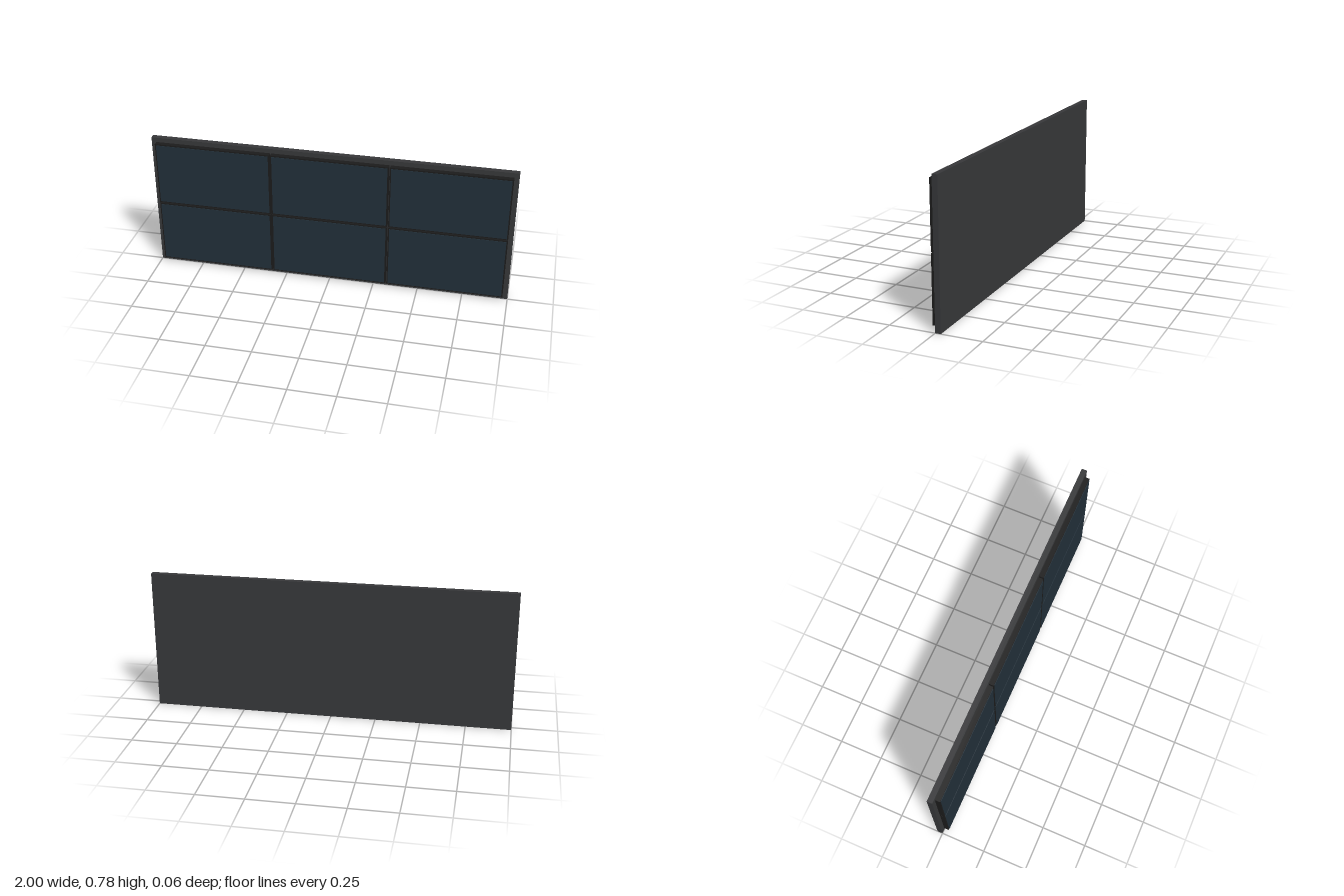
import * as THREE from 'three';

const material = (color) => new THREE.MeshStandardMaterial({ color });

function box(name, w, h, d, x, y, z, mat) {
  const mesh = new THREE.Mesh(new THREE.BoxGeometry(w, h, d), mat);
  mesh.name = name;
  mesh.position.set(x, y, z);
  return mesh;
}

export function createModel() {
  const model = new THREE.Group();
  model.name = 'videoWall';
  const frameMat = material(0x37383a);
  const bezelMat = material(0x1c1c1c);
  const screenMat = material(0x22303a);

  const height = 0.784;
  const depth = 0.03;
  const panelW = 0.645, panelH = 0.363, gap = 0.006;
  const bezelD = 0.027, inset = 0.007;

  // Backing slab
  model.add(box('backFrame', 2, height, depth, 0, height / 2, -depth / 2, frameMat));

  // Three by two grid of displays, each a bezel with a raised screen
  for (let row = 0; row < 2; row++) {
    for (let col = 0; col < 3; col++) {
      const panel = new THREE.Group();
      panel.name = 'displayPanel';
      panel.position.set((col - 1) * (panelW + gap), height / 2 + (row - 0.5) * (panelH + gap), 0);
      panel.add(box('bezel', panelW, panelH, bezelD, 0, 0, bezelD / 2, bezelMat));
      panel.add(box('screen', panelW - 2 * inset, panelH - 2 * inset, depth - bezelD,
        0, 0, (depth + bezelD) / 2, screenMat));
      model.add(panel);
    }
  }
  return model;
}
